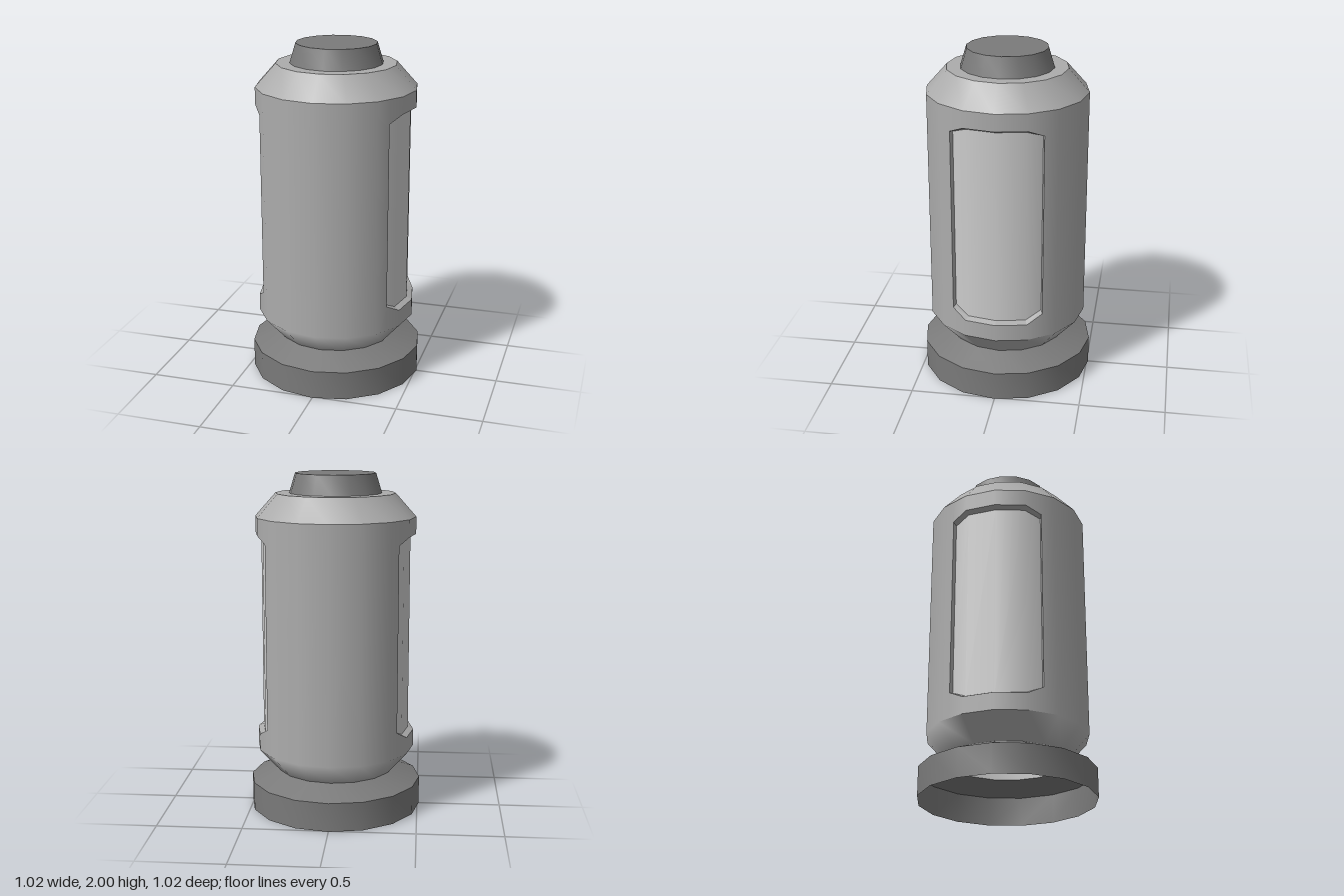
import * as THREE from 'three';
import { toCreasedNormals } from 'three/addons/utils/BufferGeometryUtils.js';

const SIDES = 16, RADIUS = 0.47, FLOOR = 0.93 * RADIUS;
const WALL_LOW = 0.37, WALL_HIGH = 1.75, NECK = 0.235;

const paint = (color) => new THREE.MeshStandardMaterial({ color, side: THREE.DoubleSide });
const dark = paint(0x7a7a7a), middle = paint(0xacacac), light = paint(0xcccccc);

// Right half of the window opening: u counts body sides from the window centre
const opening = [
  { u: 0, low: 0.47, high: 1.65 },
  { u: 1, low: 0.47, high: 1.65 },
  { u: 1.54, low: 0.52, high: 1.61 },
];
const panel = [
  { u: 0, low: 0.485, high: 1.635 },
  { u: 1, low: 0.485, high: 1.635 },
  { u: 1.59, low: 0.53, high: 1.6 },
];
const mirrored = (half) => [...half.slice(1).reverse().map((p) => ({ ...p, u: -p.u })), ...half];

// Point on the 16-sided prism, straight between its corners
function ringPoint(u, y, radius) {
  const i = Math.floor(u), t = u - i;
  const corner = (k) => {
    const a = (k * Math.PI * 2) / SIDES;
    return new THREE.Vector3(Math.cos(a) * radius, 0, -Math.sin(a) * radius);
  };
  return corner(i).lerp(corner(i + 1), t).setY(y);
}

// Collects quads into a surface; radial normals make the wall smooth
function makeSurface(quads, radial) {
  const positions = [], normals = [];
  for (const [a, b, c, d] of quads) {
    for (const p of [a, b, c, a, c, d]) {
      positions.push(p.x, p.y, p.z);
      const n = new THREE.Vector3(p.x, 0, p.z).normalize();
      normals.push(n.x, n.y, n.z);
    }
  }
  const geometry = new THREE.BufferGeometry();
  geometry.setAttribute('position', new THREE.Float32BufferAttribute(positions, 3));
  if (radial) geometry.setAttribute('normal', new THREE.Float32BufferAttribute(normals, 3));
  else geometry.computeVertexNormals();
  return geometry;
}

// Upright strip between two columns, each with its own low and high end
const strip = (a, b, radius) => [
  ringPoint(a.u, a.low, radius), ringPoint(b.u, b.low, radius),
  ringPoint(b.u, b.high, radius), ringPoint(a.u, a.high, radius),
];

// Half of the body wall, centred on one window
function wallGeometry() {
  const quads = [];
  const columns = mirrored(opening);
  for (let i = 0; i < columns.length - 1; i++) {
    const a = columns[i], b = columns[i + 1];
    quads.push(strip({ u: a.u, low: WALL_LOW, high: a.low }, { u: b.u, low: WALL_LOW, high: b.low }, RADIUS));
    quads.push(strip({ u: a.u, low: a.high, high: WALL_HIGH }, { u: b.u, low: b.high, high: WALL_HIGH }, RADIUS));
  }
  const solid = [-4, -3, -2, -1.54, 1.54, 2, 3, 4].map((u) => ({ u, low: WALL_LOW, high: WALL_HIGH }));
  for (let i = 0; i < solid.length - 1; i++) {
    if (i !== 3) quads.push(strip(solid[i], solid[i + 1], RADIUS));
  }
  return makeSurface(quads, true);
}

function panelGeometry() {
  const columns = mirrored(panel);
  return makeSurface(columns.slice(1).map((b, i) => strip(columns[i], b, FLOOR)), true);
}

// Narrow bevel joining the opening to the sunken panel
function rimGeometry() {
  const loop = (half, radius) => {
    const columns = mirrored(half);
    return [
      ...columns.map((p) => ringPoint(p.u, p.low, radius)),
      ...columns.reverse().map((p) => ringPoint(p.u, p.high, radius)),
    ];
  };
  const outer = loop(opening, RADIUS), inner = loop(panel, FLOOR);
  const quads = outer.map((p, i) => {
    const j = (i + 1) % outer.length;
    return [p, outer[j], inner[j], inner[i]];
  });
  return makeSurface(quads, false);
}

const lathe = (profile) =>
  new THREE.LatheGeometry(profile.map(([r, y]) => new THREE.Vector2(r, y)), SIDES);

// Chamfer under the body: blends into the wall, but stays crisp below the windows
function lowerChamferGeometry() {
  const geometry = lathe([[0.35, NECK], [RADIUS, WALL_LOW]]);
  const { position, normal } = geometry.attributes;
  for (let i = 0; i < position.count; i++) {
    const x = position.getX(i), z = position.getZ(i);
    if (position.getY(i) > NECK + 0.01 && Math.abs(z) > 0.25) {
      normal.setXYZ(i, x / RADIUS, 0, z / RADIUS);
    }
  }
  return geometry;
}

export function createModel() {
  const model = new THREE.Group();
  model.name = 'canister';

  const add = (parent, name, geometry, material) => {
    const mesh = new THREE.Mesh(geometry, material);
    mesh.name = name;
    parent.add(mesh);
  };
  const addLathe = (name, profile, material) =>
    add(model, name, toCreasedNormals(lathe(profile), 0.6), material);

  // Turned parts, from the open foot up to the cap
  addLathe('base', [[0.51, 0], [0.51, 0.17], [0.35, NECK]], dark);
  add(model, 'lowerChamfer', lowerChamferGeometry(), middle);
  addLathe('shoulder', [[RADIUS, WALL_HIGH], [0.35, 1.885], [0.27, 1.885]], middle);
  addLathe('cap', [[0.27, 1.885], [0.235, 2], [0, 2]], dark);

  // Two matching body halves with a sunken window on each side
  const wall = wallGeometry(), floor = panelGeometry(), rim = rimGeometry();
  for (const [name, turn] of [['leftHalf', 0], ['rightHalf', Math.PI]]) {
    const half = new THREE.Group();
    half.name = name;
    half.rotation.y = turn;
    add(half, 'bodyWall', wall, middle);
    add(half, 'windowPanel', floor, light);
    add(half, 'windowRim', rim, middle);
    model.add(half);
  }
  return model;
}
